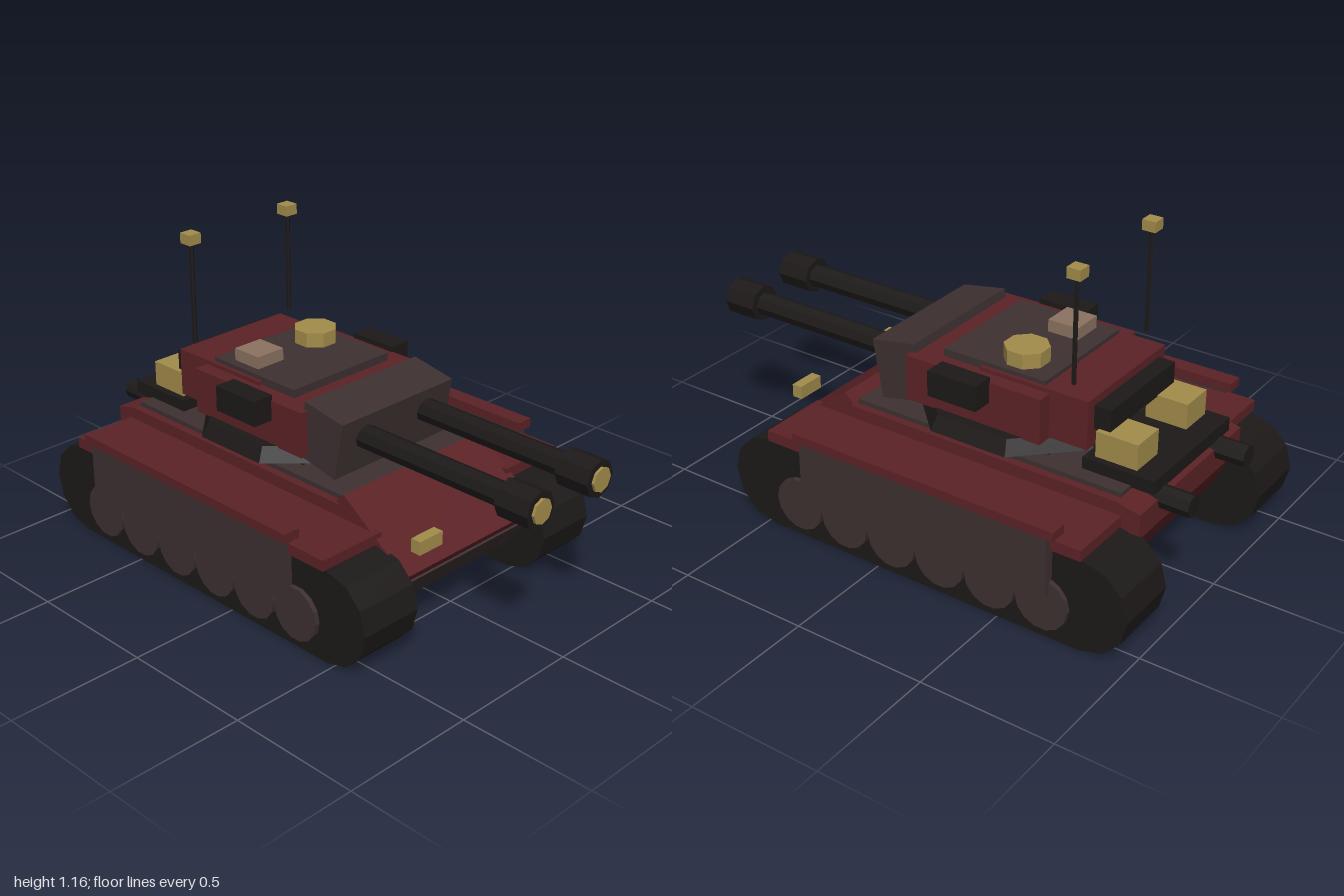
import * as THREE from 'three';

const mat = (color) => new THREE.MeshStandardMaterial({ color, flatShading: true });

export function createModel() {
  const RED = mat(0x5c2226), PLATE = mat(0x3d3031), BLACK = mat(0x1d1919);
  const GOLD = mat(0xa38c4b), TAN = mat(0x8b7360);
  const model = new THREE.Group();

  const add = (name, geometry, material) => {
    const mesh = new THREE.Mesh(geometry, material);
    mesh.name = name;
    model.add(mesh);
    return mesh;
  };
  // Box given by its limits on each axis
  const box = (name, material, [x0, x1], [y0, y1], [z0, z1]) => {
    const mesh = add(name, new THREE.BoxGeometry(x1 - x0, y1 - y0, z1 - z0), material);
    mesh.position.set((x0 + x1) / 2, (y0 + y1) / 2, (z0 + z1) / 2);
    return mesh;
  };
  // Box limits mirrored to the other side
  const span = (s, a, b) => (s > 0 ? [a, b] : [-b, -a]);
  // Side profile of [z, y] points, extruded across x
  const profile = (name, material, points, x0, x1) => {
    const shape = new THREE.Shape(points.map(([z, y]) => new THREE.Vector2(-z, y)));
    const geo = new THREE.ExtrudeGeometry(shape, { depth: x1 - x0, bevelEnabled: false });
    geo.rotateY(Math.PI / 2).translate(x0, 0, 0);
    return add(name, geo, material);
  };
  // Cylinder along z
  const rod = (name, material, r, x, y, z0, z1, sides = 8) => {
    const mesh = add(name, new THREE.CylinderGeometry(r, r, z1 - z0, sides).rotateX(Math.PI / 2), material);
    mesh.position.set(x, y, (z0 + z1) / 2);
    return mesh;
  };

  // Hull
  profile('lowerHull', RED, [[0.585, 0.28], [0.57, 0.24], [0.46, 0.16], [-0.8, 0.16],
    [-0.87, 0.3], [-0.87, 0.42], [-0.8, 0.44], [0.3, 0.44]], -0.33, 0.33);
  profile('upperHull', RED, [[0.45, 0.34], [-0.89, 0.34], [-0.89, 0.42], [-0.8, 0.44], [0.3, 0.44]], -0.345, 0.345);
  profile('glacisPlate', RED, [[0.315, 0.485], [0.6, 0.28], [0.575, 0.24], [0.28, 0.45]], -0.345, 0.345);
  profile('lowerFrontPlate', PLATE, [[0.588, 0.245], [0.51, 0.13], [0.47, 0.15], [0.55, 0.26]], -0.302, 0.302);
  box('deckPlate', PLATE, [-0.315, 0.315], [0.42, 0.457], [-0.8, 0.28]);

  // Running gear and side armour
  const trackPoints = [];
  for (const [centre, start] of [[0.47, -Math.PI / 2], [-0.817, Math.PI / 2]]) {
    for (let i = 0; i <= 6; i++) {
      const a = start + (i / 6) * Math.PI;
      trackPoints.push([centre + Math.cos(a) * 0.174, 0.177 + Math.sin(a) * 0.174]);
    }
  }
  for (const s of [1, -1]) {
    const [t0, t1] = span(s, 0.33, 0.577);
    profile('track', BLACK, trackPoints, t0, t1);
    for (let i = 0; i < 6; i++) {
      const wheel = add('roadWheel', new THREE.CylinderGeometry(0.1, 0.1, 0.1, 14).rotateZ(Math.PI / 2), PLATE);
      wheel.position.set(s * 0.545, 0.14, 0.335 - i * 0.203);
    }
    box('fender', RED, span(s, 0.32, 0.592), [0.355, 0.395], [-0.823, 0.467]);
    box('sideSkirt', PLATE, span(s, 0.575, 0.615), [0.182, 0.42], [-0.71, 0.305]);
    box('skirtRail', RED, span(s, 0.56, 0.625), [0.413, 0.447], [-0.74, 0.325]);
    box('headlight', GOLD, span(s, 0.18, 0.29), [0.35, 0.4], [0.573, 0.613]);
  }

  // Turret ring
  const k = Math.cos(Math.PI / 8);
  const ring = add('turretRing', new THREE.CylinderGeometry(0.342 / k, 0.368 / k, 0.055, 8).rotateY(Math.PI / 8), BLACK);
  ring.position.set(0, 0.498, -0.23);
  box('ringCollar', BLACK, [-0.25, 0.25], [0.44, 0.5], [-0.48, 0.02]);

  // Turret
  box('turretBody', RED, [-0.305, 0.305], [0.52, 0.69], [-0.478, 0.072]);
  box('turretRear', RED, [-0.25, 0.25], [0.525, 0.705], [-0.627, -0.2]);
  box('roofPlate', PLATE, [-0.235, 0.235], [0.68, 0.72], [-0.452, -0.038]);
  profile('gunMantlet', PLATE, [[0.24, 0.69], [0.06, 0.722], [0.02, 0.51], [0.2, 0.473]], -0.275, 0.275);
  box('periscope', TAN, [-0.2, -0.078], [0.715, 0.766], [-0.38, -0.258]);
  const hatch = add('hatch', new THREE.CylinderGeometry(0.075 / k, 0.075 / k, 0.065, 8).rotateY(Math.PI / 8), GOLD);
  hatch.position.set(0.135, 0.742, -0.312);
  box('turretBackBox', BLACK, [-0.21, 0.21], [0.59, 0.675], [-0.69, -0.62]);
  box('engineDeck', BLACK, [-0.257, 0.257], [0.45, 0.5], [-0.888, -0.615]);

  // Guns, antennas, exhausts and stowage in pairs
  for (const s of [1, -1]) {
    rod('gunBarrel', BLACK, 0.044, s * 0.152, 0.608, 0.1, 0.88);
    rod('muzzle', BLACK, 0.069, s * 0.152, 0.608, 0.857, 0.99);
    rod('muzzleCore', GOLD, 0.045, s * 0.152, 0.608, 0.95, 1.0);
    box('turretSideBox', BLACK, span(s, 0.3, 0.384), [0.615, 0.71], [-0.275, -0.078]);
    const mast = add('antenna', new THREE.CylinderGeometry(0.009, 0.009, 0.39, 6), BLACK);
    mast.position.set(s * 0.234, 0.94, -0.56);
    box('antennaCap', GOLD, span(s, 0.208, 0.26), [1.126, 1.165], [-0.588, -0.536]);
    box('stowageBox', GOLD, span(s, 0.097, 0.23), [0.495, 0.595], [-0.807, -0.648]);
    rod('exhaust', BLACK, 0.041, s * 0.192, 0.415, -1.0, -0.79);
  }
  return model;
}
